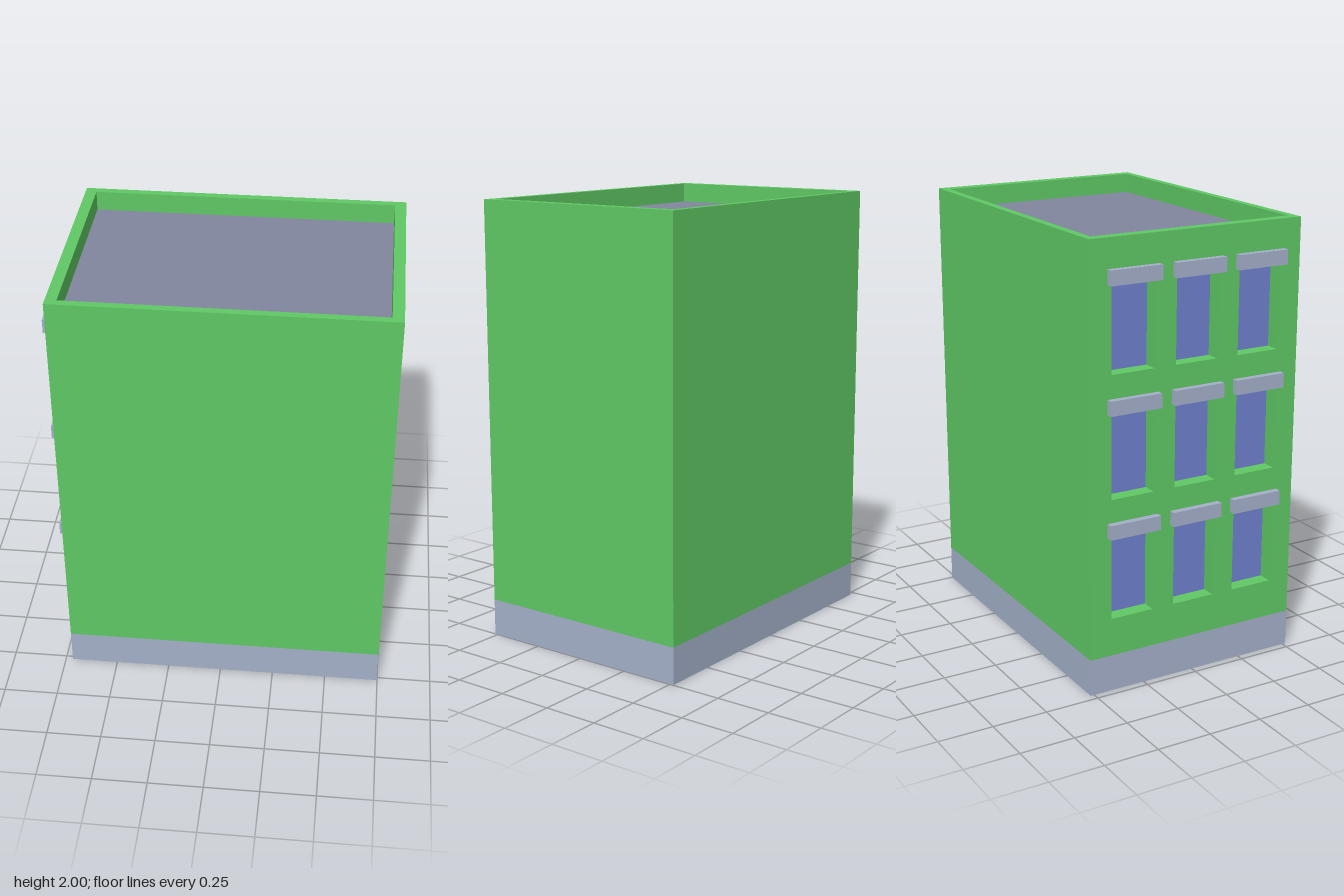
import * as THREE from 'three';
import { mergeGeometries } from 'three/addons/utils/BufferGeometryUtils.js';

const material = (name, color) => new THREE.MeshStandardMaterial({ name, color, side: THREE.DoubleSide });

// Overall sizes of the hollow shell
const LEFT = 0.748, RIGHT = -0.717, HALF_D = 0.517, HEIGHT = 2, BASE_H = 0.167;
const W = LEFT - RIGHT, D = HALF_D * 2, CX = (LEFT + RIGHT) / 2;

// Parapet and roof
const RIM_X = 0.05, RIM_Z = 0.035, ROOF_Y = 1.91;

// Windows on the right side
const COLS = [-0.31, 0, 0.31], ROWS = [0.34, 0.885, 1.43];
const WIN_W = 0.206, WIN_H = 0.378, RECESS = 0.066;

// Open rectangular sleeve around the y axis; inward turns the faces to the inside
function sleeve(w, d, y0, y1, { inward = false, skipRight = false } = {}) {
  const sides = [];
  for (let i = 0; i < 4; i++) {
    if (skipRight && i === 3) continue;
    const across = i % 2 === 0;
    const g = new THREE.PlaneGeometry(across ? w : d, y1 - y0);
    if (inward) g.rotateY(Math.PI);
    g.translate(0, (y0 + y1) / 2, (across ? d : w) / 2);
    sides.push(g.rotateY(i * Math.PI / 2));
  }
  return mergeGeometries(sides);
}

function rectPath(path, x0, x1, y0, y1) {
  path.moveTo(x0, y0);
  path.lineTo(x1, y0);
  path.lineTo(x1, y1);
  path.lineTo(x0, y1);
  path.closePath();
  return path;
}

export function createModel() {
  const green = material('green wall', 0x5fc864);
  const stone = material('pale grey stone', 0xa4b0c9);
  const roofGrey = material('grey roof', 0x82869f);
  const blue = material('blue glass', 0x6f82cf);

  const model = new THREE.Group();
  model.name = 'building';
  const add = (name, geometry, mat, x = 0, y = 0, z = 0, parent = model) => {
    const mesh = new THREE.Mesh(geometry, mat);
    mesh.name = name;
    mesh.position.set(x, y, z);
    parent.add(mesh);
    return mesh;
  };

  // Shell: stone base, three plain walls and the pierced right wall
  add('base', sleeve(W, D, 0, BASE_H), stone, CX);
  add('plainWalls', sleeve(W, D, BASE_H, HEIGHT, { skipRight: true }), green, CX);
  const wall = rectPath(new THREE.Shape(), -HALF_D, HALF_D, BASE_H, HEIGHT);
  for (const z of COLS) for (const y of ROWS) {
    wall.holes.push(rectPath(new THREE.Path(), z - WIN_W / 2, z + WIN_W / 2, y, y + WIN_H));
  }
  add('windowWall', new THREE.ShapeGeometry(wall).rotateY(-Math.PI / 2), green, RIGHT);

  // Parapet rim, its inner faces and the sunken roof
  const inW = W - 2 * RIM_X, inD = D - 2 * RIM_Z;
  const rim = rectPath(new THREE.Shape(), -W / 2, W / 2, -HALF_D, HALF_D);
  rim.holes.push(rectPath(new THREE.Path(), -inW / 2, inW / 2, -inD / 2, inD / 2));
  add('parapetRim', new THREE.ShapeGeometry(rim).rotateX(-Math.PI / 2), green, CX, HEIGHT);
  add('parapetInside', sleeve(inW, inD, ROOF_Y, HEIGHT, { inward: true }), green, CX);
  add('roof', new THREE.PlaneGeometry(inW, inD).rotateX(-Math.PI / 2), roofGrey, CX, ROOF_Y);

  // Recessed windows, each with a projecting lintel
  const reveal = sleeve(WIN_H, WIN_W, 0, RECESS, { inward: true }).rotateZ(-Math.PI / 2);
  const glass = new THREE.PlaneGeometry(WIN_W, WIN_H).rotateY(-Math.PI / 2);
  const lintel = new THREE.BoxGeometry(0.03, 0.065, 0.245);
  for (const z of COLS) for (const y of ROWS) {
    const unit = new THREE.Group();
    unit.name = 'window';
    unit.position.set(RIGHT, y + WIN_H / 2, z);
    add('reveal', reveal, green, 0, 0, 0, unit);
    add('glass', glass, blue, RECESS, 0, 0, unit);
    add('lintel', lintel, stone, -0.016, WIN_H / 2 + 0.031, 0, unit);
    model.add(unit);
  }
  return model;
}
